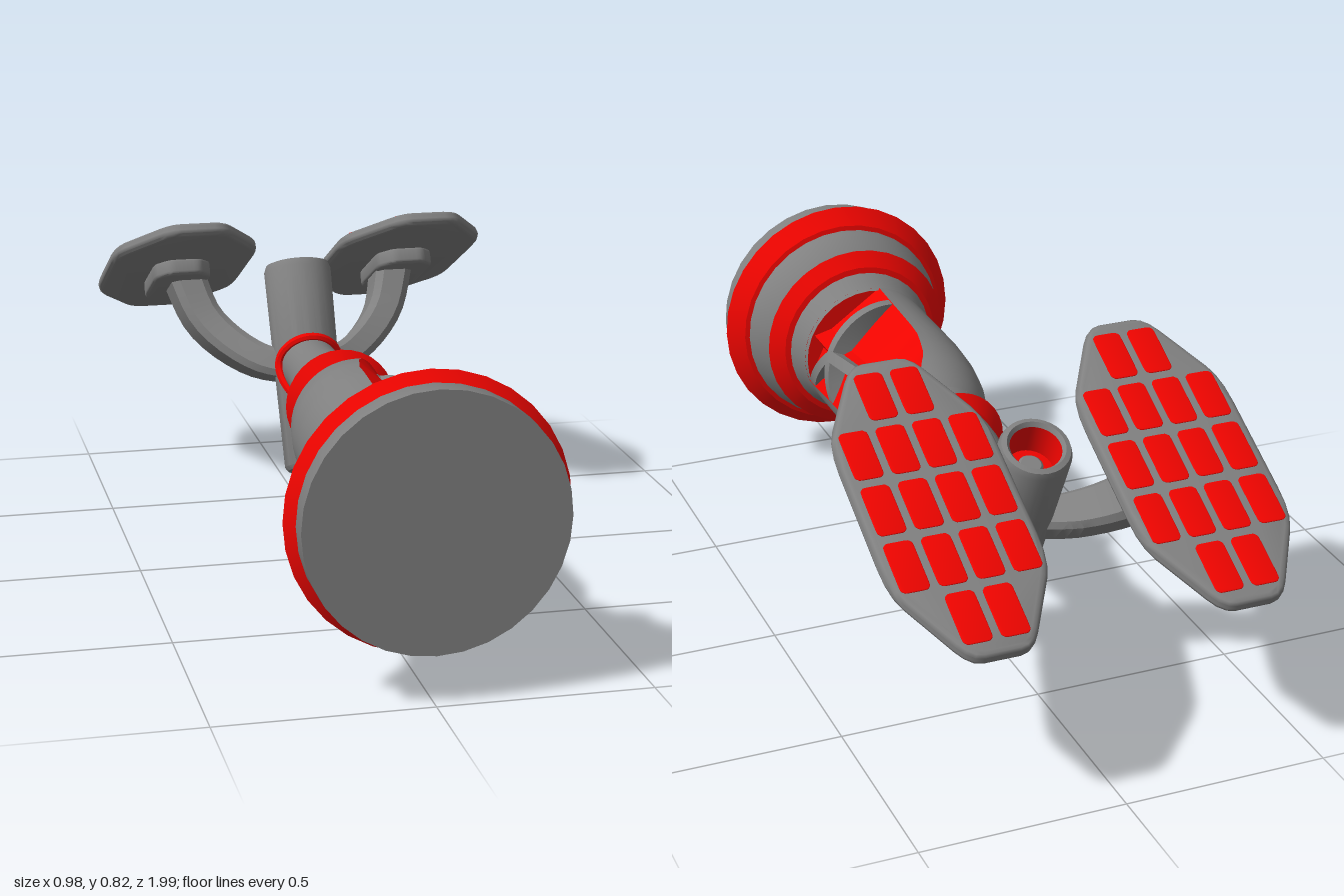
import * as THREE from 'three';
import { toCreasedNormals } from 'three/addons/utils/BufferGeometryUtils.js';

const grey = new THREE.MeshStandardMaterial({ color: 0x808080, side: THREE.DoubleSide });
const red = new THREE.MeshStandardMaterial({ color: 0xee0400, side: THREE.DoubleSide });
const V = (x, y, z) => new THREE.Vector3(x, y, z);
const DEG = Math.PI / 180;

function add(parent, name, geo, mat, crease = 0.6) {
  const mesh = new THREE.Mesh(toCreasedNormals(geo, crease), mat);
  mesh.name = name;
  parent.add(mesh);
  return mesh;
}

// Piecewise linear lookup in rows of [key, value], keys rising
function lookup(rows, k) {
  for (let i = 1; i < rows.length; i++) {
    const [k0, v0] = rows[i - 1], [k1, v1] = rows[i];
    if (k <= k1) return v0 + (v1 - v0) * Math.max(0, (k - k0) / (k1 - k0));
  }
  return rows[rows.length - 1][1];
}

// Surface through rows of points
function grid(rows) {
  const n = rows[0].length, index = [];
  for (let i = 0; i + 1 < rows.length; i++) {
    for (let j = 0; j + 1 < n; j++) {
      const a = i * n + j, b = a + 1, c = a + n, d = c + 1;
      index.push(a, b, c, b, d, c);
    }
  }
  const geo = new THREE.BufferGeometry().setFromPoints(rows.flat());
  geo.setIndex(index);
  return geo;
}

// Turned part along z from [z, radius] points
function turned(points) {
  const geo = new THREE.LatheGeometry(points.map(([z, r]) => new THREE.Vector2(r, z)), 32);
  return geo.rotateX(Math.PI / 2);
}

// Plate with cut corners, lying in xz and rising from y = 0
function cutPlate(w, l, cx, cl, t, bevel) {
  const a = w - bevel, b = l - bevel;
  const corners = [[a - cx, b], [a, b - cl], [a, cl - b], [a - cx, -b],
    [cx - a, -b], [-a, cl - b], [-a, b - cl], [cx - a, b]].map(p => new THREE.Vector2(...p));
  const shape = new THREE.Shape();
  corners.forEach((p, i) => {
    const before = p.clone().lerp(corners[(i + 7) % 8], 0.18);
    const after = p.clone().lerp(corners[(i + 1) % 8], 0.18);
    if (i) shape.lineTo(before.x, before.y); else shape.moveTo(before.x, before.y);
    shape.quadraticCurveTo(p.x, p.y, after.x, after.y);
  });
  shape.closePath();
  const geo = new THREE.ExtrudeGeometry(shape, {
    depth: t - 2 * bevel, bevelSize: bevel, bevelThickness: bevel, bevelSegments: 3, curveSegments: 3,
  });
  return geo.translate(0, 0, bevel).rotateX(-Math.PI / 2);
}

// Body outline, the edges of its side opening and the rib that divides it
const bodyRadius = [[0.09, 0.1], [0.135, 0.12], [0.17, 0.14], [0.22, 0.16], [0.3, 0.174], [0.4, 0.18], [0.68, 0.18]];
const openLow = [[0.135, 30], [0.16, 20], [0.2, 6], [0.3, -7], [0.4, -11], [0.5, -14], [0.67, -20]];
const openHigh = [[0.135, 52], [0.16, 68], [0.2, 80], [0.25, 90], [0.35, 97], [0.67, 101]];
const ribAngle = [[0.135, 41], [0.52, 24], [0.67, 24]];
const onBody = (z, deg, inset = 0) => {
  const r = lookup(bodyRadius, z) - inset;
  return V(r * Math.cos(deg * DEG), r * Math.sin(deg * DEG), z);
};

// One line across the recess: two V-shaped pockets, or flush with the body
function recessLine(z, flush) {
  const lo = lookup(openLow, z), hi = lookup(openHigh, z), rib = lookup(ribAngle, z);
  const deep = 0.05 * Math.min(1, (hi - lo) / 90);
  const knots = [[lo, 0], [rib - 0.25 * (rib - lo), deep], [rib, 0.3 * deep], [rib + 0.18 * (hi - rib), deep], [hi, 0]];
  const line = [];
  for (let k = 0; k < 4; k++) {
    const [a0, d0] = knots[k], [a1, d1] = knots[k + 1];
    for (let j = 0; j <= 6; j++) {
      const t = j / 6;
      line.push(flush ? onBody(z, a0 + (a1 - a0) * t) : onBody(z, a0, d0).lerp(onBody(z, a1, d1), t));
    }
  }
  return line;
}

function buildBody() {
  const body = new THREE.Group();
  body.name = 'body';
  body.position.y = 0.42;
  add(body, 'frontDrum', turned([[0.86, 0.27], [0.945, 0.3], [1, 0.3], [1, 0]]), grey);
  add(body, 'frontRing', turned([[0.865, 0.265], [0.87, 0.285], [0.917, 0.323], [0.95, 0.295]]), red, 0.4);
  add(body, 'steppedCollar', turned([[0.77, 0.22], [0.79, 0.245], [0.85, 0.27], [0.88, 0.275]]), grey);
  add(body, 'middleRing', turned([[0.728, 0.19], [0.733, 0.215], [0.766, 0.251], [0.797, 0.225]]), red, 0.4);
  add(body, 'shoulder', turned([[0.66, 0.176], [0.67, 0.18], [0.7, 0.187], [0.73, 0.2], [0.76, 0.205]]), grey);
  add(body, 'rearRing', turned([[0.02, 0.09], [0.025, 0.105], [0.054, 0.138], [0.085, 0.1]]), red, 0.4);
  add(body, 'neck', turned([[-0.36, 0.074], [-0.22, 0.076], [-0.12, 0.084], [-0.04, 0.096], [0.04, 0.1], [0.09, 0.1], [0.135, 0.12], [0.15, 0.118]]), grey);

  // Shell wraps round the opening; the recess lines it
  const shell = [], recess = [], steps = 30;
  for (let i = 0; i <= steps; i++) {
    const z = 0.135 + 0.535 * i / steps;
    const lo = lookup(openLow, z), hi = lookup(openHigh, z);
    shell.push(Array.from({ length: 33 }, (_, j) => onBody(z, hi + (lo + 360 - hi) * j / 32)));
    if (i === 0) recess.push(recessLine(z, true));
    recess.push(recessLine(z, false));
    if (i === steps) recess.push(recessLine(z, true));
  }
  add(body, 'shell', grid(shell), grey);
  add(body, 'recess', grid(recess), red, 0.3);

  // Struts meeting at one joint across the opening
  const joint = [0.52, 24];
  for (const end of [[0.57, 102], [0.645, -21], [0.475, -15], [0.135, 41]]) {
    const at = t => {
      const k = [0, 1].map(i => joint[i] + (end[i] - joint[i]) * t);
      return onBody(k[0], k[1], 0.001);
    };
    const rows = [];
    for (let i = 0; i <= 12; i++) {
      const t = i / 12, p = at(t);
      const along = at(t + 0.02).sub(at(t - 0.02)).normalize();
      const out = V(p.x, p.y, 0).normalize();
      const side = along.cross(out).normalize();
      rows.push([[1, 0], [1, 1], [-1, 1], [-1, 0], [1, 0]].map(([s, o]) =>
        p.clone().addScaledVector(side, s * 0.015).addScaledVector(out, (o - 1) * 0.055)));
    }
    add(body, 'strut', grid(rows), grey);
  }
  return body;
}

function buildPost() {
  const post = new THREE.Group();
  post.name = 'post';
  post.position.set(0, 0.162, -0.23);
  post.quaternion.setFromUnitVectors(V(0, 1, 0), V(0, 0.9, -0.44).normalize());
  const lathe = pts => new THREE.LatheGeometry(pts.map(p => new THREE.Vector2(...p)), 32);
  add(post, 'postTube', lathe([[0, 0], [0.074, 0], [0.081, 0.01], [0.088, 0.53], [0.082, 0.546], [0.07, 0.55], [0.062, 0.54]]), grey);
  add(post, 'postLining', lathe([[0.062, 0.54], [0.057, 0.46], [0, 0.46]]), red);
  add(post, 'postCore', lathe([[0.03, 0.46], [0.03, 0.475], [0.024, 0.481], [0, 0.481]]), grey);
  return post;
}

function buildPanel() {
  const panel = new THREE.Group();
  panel.name = 'panel';
  panel.position.set(0.3, 0.63, -0.615);
  panel.rotation.x = -0.455;
  add(panel, 'panelPlate', cutPlate(0.19, 0.42, 0.11, 0.2, 0.035, 0.016).translate(0, -0.018, 0), grey, 1);
  add(panel, 'panelPad', cutPlate(0.075, 0.16, 0.03, 0.04, 0.045, 0.01).translate(0, -0.058, 0), grey);
  for (let row = -2; row <= 2; row++) {
    for (let col = 0; col < 4; col++) {
      const outer = col === 0 || col === 3;
      if (outer && Math.abs(row) === 2) continue;
      const cell = add(panel, 'panelCell', cutPlate(0.035, 0.068, 0.008, 0.008, 0.008, 0.002), red);
      cell.position.set((col - 1.5) * 0.088, 0.011, row * 0.157);
    }
  }
  return panel;
}

// Curved arm swept from the post to the pad
function armGeometry() {
  const path = new THREE.CatmullRomCurve3([V(0.02, 0.4, -0.35), V(0.13, 0.42, -0.41), V(0.24, 0.5, -0.51), V(0.288, 0.62, -0.595)]);
  const wide = V(0, 0.44, 0.9);
  const rows = [];
  for (let i = 0; i <= 14; i++) {
    const t = i / 14, p = path.getPoint(t);
    const tangent = path.getTangent(t);
    const thin = wide.clone().cross(tangent).normalize();
    const w = 0.046 + 0.026 * t, h = 0.035 + 0.013 * t;
    const loop = [[1, 0.6], [0.75, 1], [-0.75, 1], [-1, 0.6], [-1, -0.6], [-0.75, -1], [0.75, -1], [1, -0.6], [1, 0.6]];
    rows.push(loop.map(([a, b]) => p.clone().addScaledVector(wide, a * w).addScaledVector(thin, b * h)));
  }
  return grid(rows);
}

export function createModel() {
  const model = new THREE.Group();
  model.name = 'model';
  model.add(buildBody(), buildPost());

  // Red seam where the neck meets the post
  const seam = Array.from({ length: 24 }, (_, i) => {
    const a = i * Math.PI / 12, x = 0.08 * Math.cos(a), y = 0.42 + 0.08 * Math.sin(a);
    return V(x, y, -0.23 - 0.489 * (y - 0.162) + Math.sqrt(0.0081 - x * x) / 0.9);
  });
  add(model, 'neckSeam', new THREE.TubeGeometry(new THREE.CatmullRomCurve3(seam, true), 48, 0.012, 8, true), red);

  // Handle pipe and its socket under the body
  const pipe = new THREE.CatmullRomCurve3([V(0, 0.2, 0.61), V(0, 0.135, 0.55), V(0, 0.08, 0.47), V(0, 0.058, 0.38),
    V(0, 0.051, 0.2), V(0, 0.046, 0.02), V(0, 0.07, -0.11), V(0, 0.13, -0.2), V(0, 0.2, -0.25)]);
  add(model, 'handlePipe', new THREE.TubeGeometry(pipe, 40, 0.043, 16), red);
  const socket = add(model, 'handleSocket', new THREE.CylinderGeometry(0.1, 0.09, 0.16, 24), grey);
  socket.position.set(0, 0.23, 0.594);
  socket.quaternion.setFromUnitVectors(V(0, 1, 0), V(0, 0.934, 0.357).normalize());

  // Panels and arms on both sides
  for (const side of [1, -1]) {
    const wing = new THREE.Group();
    wing.name = side > 0 ? 'leftWing' : 'rightWing';
    wing.scale.x = side;
    wing.add(buildPanel());
    add(wing, 'arm', armGeometry(), grey);
    model.add(wing);
  }
  return model;
}
